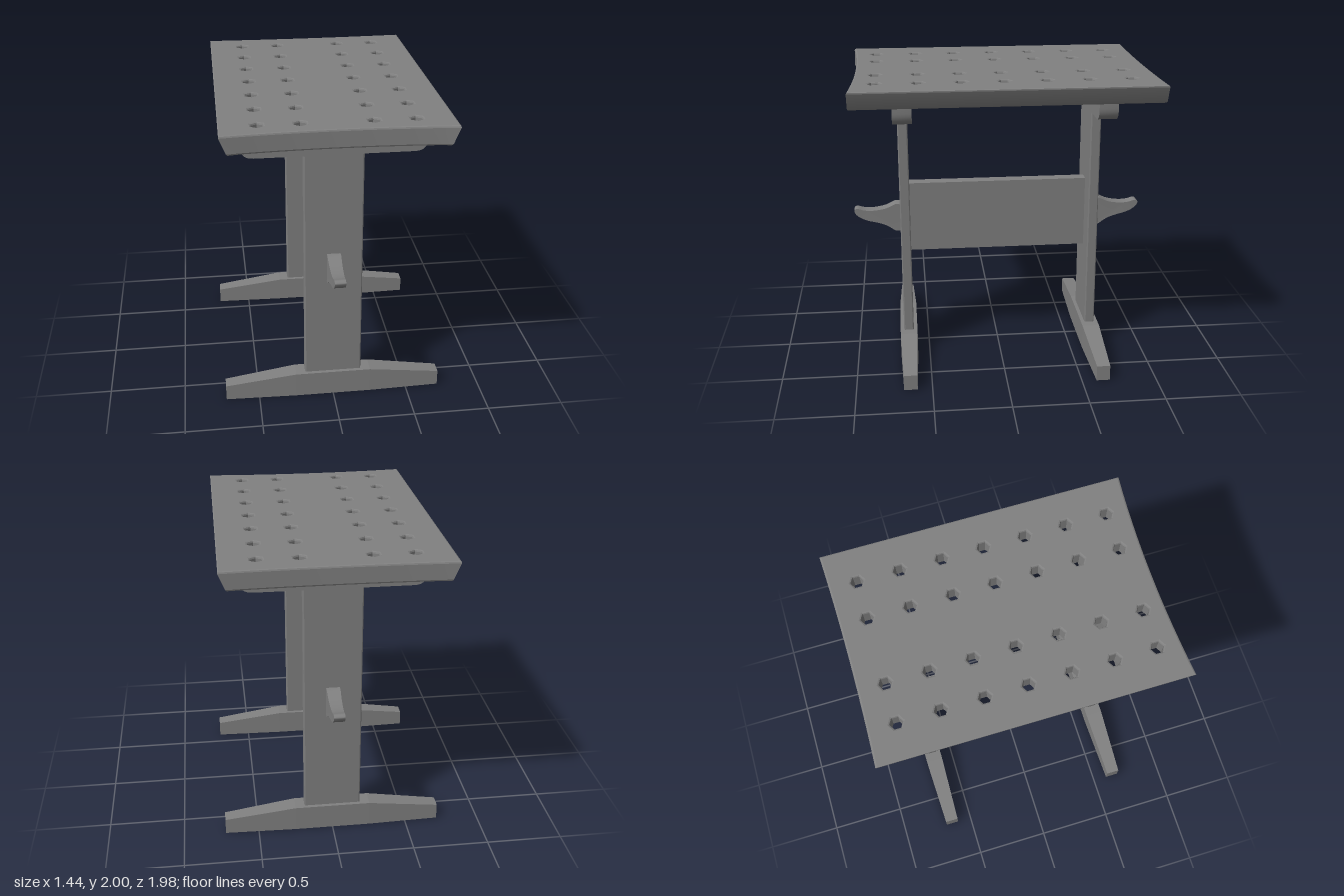
import * as THREE from 'three';
import { toCreasedNormals } from 'three/addons/utils/BufferGeometryUtils.js';

const material = new THREE.MeshStandardMaterial({ color: 0x808080, side: THREE.DoubleSide });
const LEG_Z = 0.643;

function part(name, geometry, x = 0, y = 0, z = 0) {
  const mesh = new THREE.Mesh(geometry, material);
  mesh.name = name;
  mesh.position.set(x, y, z);
  return mesh;
}

// Extrude a front-facing outline, centred on z = 0, with an optional small chamfer
function slab(shape, thickness, bevel = 0) {
  const geometry = new THREE.ExtrudeGeometry(shape, {
    depth: thickness - 2 * bevel, curveSegments: 8, bevelEnabled: bevel > 0,
    bevelSize: bevel, bevelThickness: bevel, bevelOffset: -bevel, bevelSegments: 2,
  });
  geometry.translate(0, 0, bevel - thickness / 2);
  return toCreasedNormals(geometry, 0.3);
}

// Tabletop: hollowed ends, undercut long sides, rows of hexagonal holes
function tabletopGeometry() {
  const w = 0.702, front = 0.967, back = -0.988, thickness = 0.122;
  const shape = new THREE.Shape();
  shape.moveTo(-w, back);
  shape.quadraticCurveTo(0, back + 0.03, w, back);
  shape.lineTo(w, front);
  shape.quadraticCurveTo(0, front - 0.066, -w, front);
  shape.closePath();
  for (const x of [-0.47, -0.217, 0.217, 0.47]) {
    for (let row = -3; row <= 3; row++) {
      const hole = new THREE.Path();
      for (let i = 0; i < 6; i++) {
        const a = Math.PI / 6 - i * Math.PI / 3;
        const px = x + 0.039 * Math.cos(a), pz = row * 0.268 + 0.039 * Math.sin(a);
        if (i === 0) hole.moveTo(px, pz); else hole.lineTo(px, pz);
      }
      hole.closePath();
      shape.holes.push(hole);
    }
  }
  const bevel = 0.012;
  const geometry = new THREE.ExtrudeGeometry(shape, {
    depth: thickness - 2 * bevel, curveSegments: 12, bevelSize: bevel,
    bevelThickness: bevel, bevelOffset: -bevel, bevelSegments: 2,
  });
  geometry.rotateX(Math.PI / 2);
  geometry.translate(0, 2 - bevel, 0);
  const p = geometry.attributes.position;
  for (let i = 0; i < p.count; i++) {
    const x = p.getX(i);
    if (Math.abs(x) > 0.66) p.setX(i, x - Math.sign(x) * 0.05 * (2 - p.getY(i)) / thickness);
  }
  return toCreasedNormals(geometry, 0.3);
}

// Foot: flat in the middle, sloping down and narrowing toward both ends
function footGeometry() {
  const geometry = new THREE.BoxGeometry(1.444, 0.17, 0.118, 4, 1, 1);
  geometry.translate(0, 0.085, 0);
  const p = geometry.attributes.position;
  for (let i = 0; i < p.count; i++) {
    const x = p.getX(i);
    if (Math.abs(x) > 0.7) {
      p.setY(i, Math.min(p.getY(i), 0.105));
      p.setZ(i, p.getZ(i) * 0.76);
    } else if (Math.abs(x) > 0.3) {
      p.setX(i, Math.sign(x) * 0.25);
    }
  }
  return toCreasedNormals(geometry, 0.02);
}

// Curved hook: side profile in (z, y), narrowing slightly toward its tip
function hookGeometry() {
  const shape = new THREE.Shape();
  shape.moveTo(0.66, 0.865);
  shape.lineTo(0.71, 0.865);
  shape.splineThru([[0.775, 0.907], [0.844, 0.93], [0.895, 0.942], [0.945, 0.963], [0.976, 0.987],
    [0.99, 1.012], [0.983, 1.027], [0.961, 1.03], [0.918, 1.018], [0.854, 1.016],
    [0.775, 1.03], [0.711, 1.06]].map(([z, y]) => new THREE.Vector2(z, y)));
  shape.lineTo(0.66, 1.06);
  shape.closePath();
  const geometry = new THREE.ExtrudeGeometry(shape, { depth: 0.088, curveSegments: 3, bevelEnabled: false });
  geometry.translate(0, 0, -0.044);
  geometry.rotateY(-Math.PI / 2);
  const p = geometry.attributes.position;
  for (let i = 0; i < p.count; i++) {
    p.setX(i, p.getX(i) * (1 - 0.2 * Math.max(0, (p.getZ(i) - 0.71) / 0.28)));
  }
  return toCreasedNormals(geometry, 0.6);
}

export function createModel() {
  const model = new THREE.Group();
  model.name = 'trestleTable';

  model.add(part('tabletop', tabletopGeometry()));

  const foot = footGeometry();

  const legOutline = [[-0.188, 0.16], [0.188, 0.16], [0.188, 1.77], [-0.188, 1.77]];
  const leg = slab(new THREE.Shape(legOutline.map(([x, y]) => new THREE.Vector2(x, y))), 0.068, 0.008);

  // Support rail with rounded lower corners
  const rail = new THREE.Shape();
  rail.moveTo(-0.575, 1.885);
  rail.lineTo(-0.575, 1.83);
  rail.quadraticCurveTo(-0.57, 1.748, -0.49, 1.748);
  rail.lineTo(0.49, 1.748);
  rail.quadraticCurveTo(0.57, 1.748, 0.575, 1.83);
  rail.lineTo(0.575, 1.885);
  rail.closePath();
  const railGeometry = slab(rail, 0.122);

  const hook = hookGeometry();

  // Two matching trestles
  for (const side of [1, -1]) {
    const trestle = new THREE.Group();
    trestle.name = side > 0 ? 'frontTrestle' : 'backTrestle';
    trestle.rotation.y = side > 0 ? 0 : Math.PI;
    trestle.add(
      part('foot', foot, 0, 0, LEG_Z),
      part('leg', leg, 0, 0, LEG_Z),
      part('supportRail', railGeometry, 0, 0, LEG_Z),
      part('hook', hook),
    );
    model.add(trestle);
  }

  // Board joining the legs
  model.add(part('stretcher', new THREE.BoxGeometry(0.08, 0.49, 2 * LEG_Z - 0.06), 0, 0.961, 0));
  return model;
}
